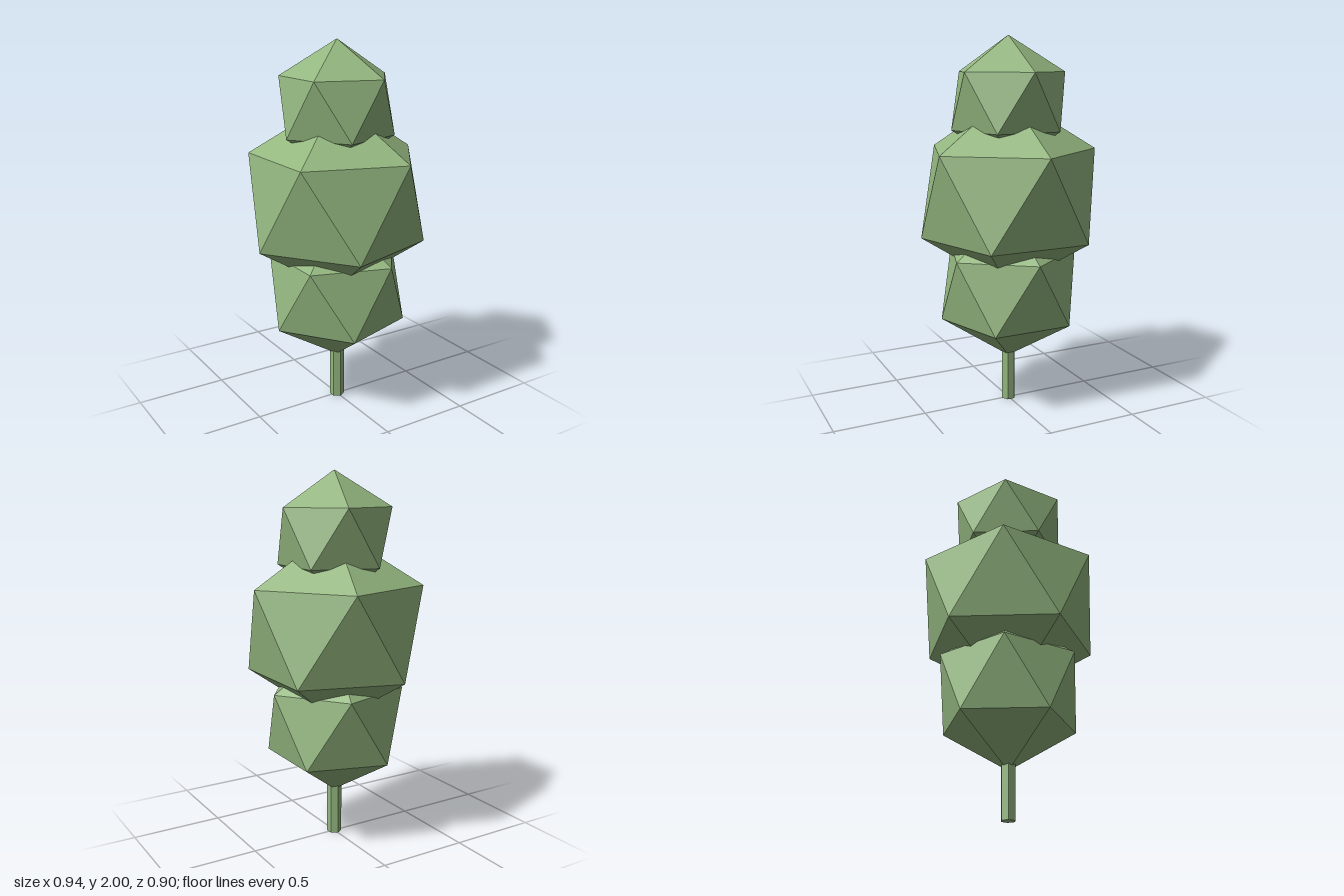
import * as THREE from 'three';

export function createModel() {
  const tree = new THREE.Group();
  tree.name = 'tree';

  const leafGreen = new THREE.MeshStandardMaterial({ color: 0x93b67f, flatShading: true });
  leafGreen.name = 'leaf green';

  // Slim six-sided trunk, its top buried in the lowest crown
  const trunk = new THREE.Mesh(new THREE.CylinderGeometry(0.04, 0.04, 0.32, 6), leafGreen);
  trunk.name = 'trunk';
  trunk.position.y = 0.16;
  tree.add(trunk);

  // Stacked icosahedral crowns, each tipped so one corner points straight up
  const tilt = -Math.atan(2 / (1 + Math.sqrt(5)));
  const crowns = [
    ['lowerCrown', 0.413, 0.664],
    ['middleCrown', 0.527, 1.172],
    ['upperCrown', 0.338, 1.662],
  ];
  for (const [name, radius, y] of crowns) {
    const geometry = new THREE.IcosahedronGeometry(radius, 0).rotateZ(tilt);
    const crown = new THREE.Mesh(geometry, leafGreen);
    crown.name = name;
    crown.position.y = y;
    tree.add(crown);
  }

  return tree;
}
